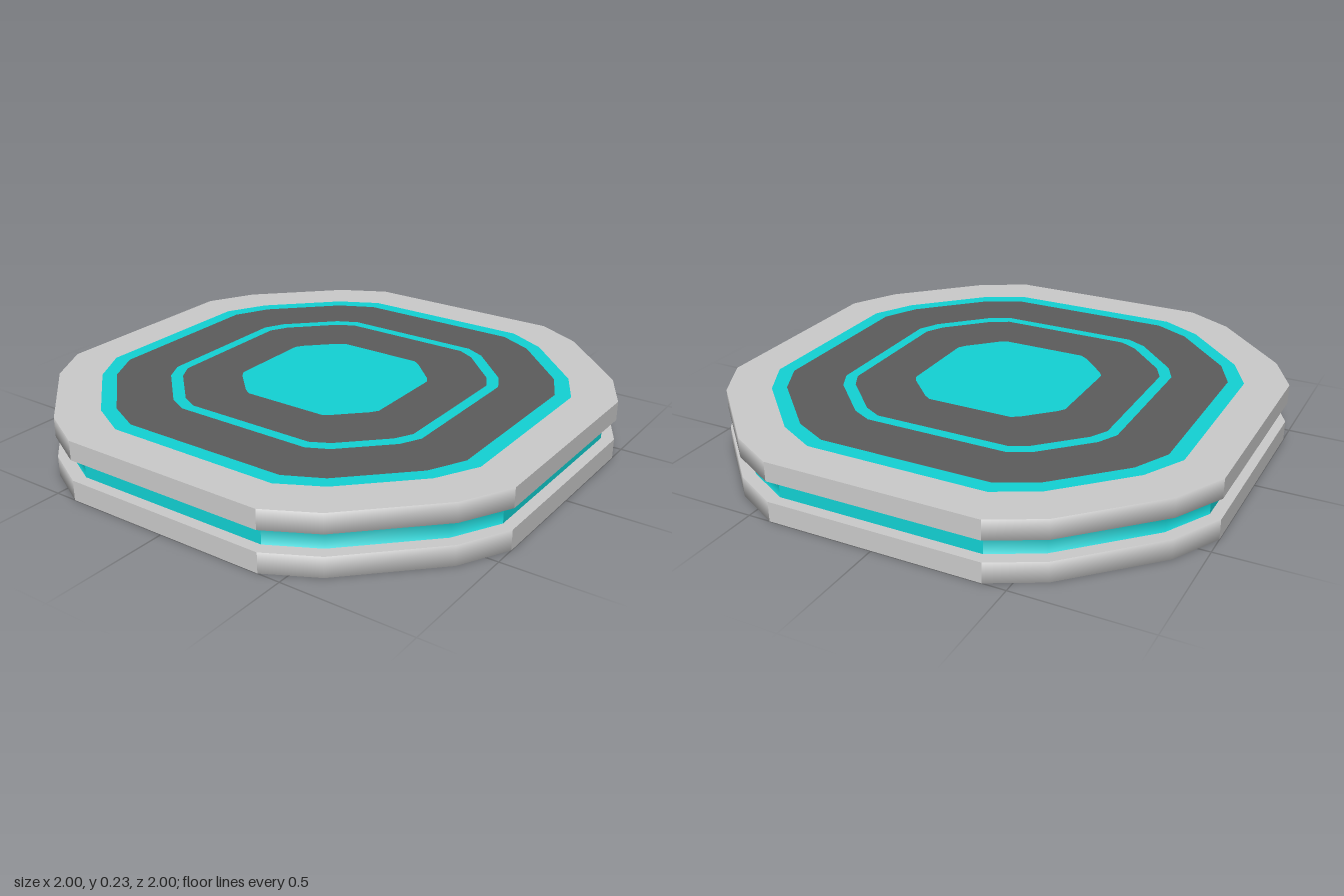
import * as THREE from 'three';

const mat = (color) => new THREE.MeshStandardMaterial({ color });
const grey = mat(0xcccccc);
const dark = mat(0x5c5c5c);
const teal = mat(0x12d3d5);

// Sixteen-point outline: half width a, flat half length b, chamfer point (c, d); counter-clockwise
function outline(a, b, c, d) {
  const corner = [[a, b], [c, d], [d, c], [b, a]];
  const pts = [];
  for (let k = 0; k < 4; k++) {
    for (const [x, y] of corner) {
      pts.push(new THREE.Vector2(x, y).rotateAround(new THREE.Vector2(), k * Math.PI / 2));
    }
  }
  return pts;
}
const rim = (s) => outline(s, 0.413 * s, 0.9 * s, 0.6 * s);

// Flat horizontal face at height y, optionally with a hole
function face(name, pts, hole, y, material, down = false) {
  const shape = new THREE.Shape(pts);
  if (hole) shape.holes.push(new THREE.Path(hole));
  const geo = new THREE.ShapeGeometry(shape);
  geo.rotateX(down ? Math.PI / 2 : -Math.PI / 2);
  geo.translate(0, y, 0);
  const mesh = new THREE.Mesh(geo, material);
  mesh.name = name;
  return mesh;
}

// Upright wall: flat sides, smooth corners whose normals lean by tilt at top and bottom
function wall(name, pts, y0, y1, material, tilt) {
  const pos = [], nor = [], idx = [];
  const edgeNormal = (p, q) => new THREE.Vector2(q.y - p.y, p.x - q.x).normalize();
  const strip = (line, lean) => {
    const start = pos.length / 3;
    line.forEach((p, i) => {
      const n = new THREE.Vector2();
      if (i > 0) n.add(edgeNormal(line[i - 1], p));
      if (i < line.length - 1) n.add(edgeNormal(p, line[i + 1]));
      n.normalize();
      for (const [y, ny] of [[y0, -lean], [y1, lean]]) {
        const v = new THREE.Vector3(n.x, ny, -n.y).normalize();
        pos.push(p.x, y, -p.y);
        nor.push(v.x, v.y, v.z);
      }
      if (i > 0) {
        const a = start + 2 * (i - 1);
        idx.push(a, a + 2, a + 3, a, a + 3, a + 1);
      }
    });
  };
  for (let k = 0; k < 16; k += 4) {
    strip(pts.slice(k, k + 4), tilt);
    strip([pts[k + 3], pts[(k + 4) % 16]], 0);
  }
  const geo = new THREE.BufferGeometry();
  geo.setAttribute('position', new THREE.Float32BufferAttribute(pos, 3));
  geo.setAttribute('normal', new THREE.Float32BufferAttribute(nor, 3));
  geo.setIndex(idx);
  const mesh = new THREE.Mesh(geo, material);
  mesh.name = name;
  return mesh;
}

export function createModel() {
  const model = new THREE.Group();
  model.name = 'platform';
  const yLow = 0.077, yHigh = 0.157, yTop = 0.232;
  const outer = rim(1);

  // Lower plate with a dark base
  model.add(wall('lowerPlateWall', outer, 0, yLow, grey, 0.5));
  model.add(face('lowerPlateTop', outer, null, yLow, grey));
  model.add(face('base', outer, null, 0, dark, true));

  // Recessed glowing core between the plates
  model.add(wall('coreBand', rim(0.955), yLow, yHigh, teal, -0.5));

  // Upper plate
  model.add(wall('upperPlateWall', outer, yHigh, yTop, grey, 0.5));
  model.add(face('upperPlateUnderside', outer, null, yHigh, grey, true));

  // Flush concentric inlays on the top
  const rings = [
    ['topRim', outer, grey],
    ['outerGlowRing', outline(0.84, 0.35, 0.755, 0.51), teal],
    ['outerDarkRing', outline(0.78, 0.335, 0.71, 0.475), dark],
    ['innerGlowRing', outline(0.57, 0.28, 0.53, 0.36), teal],
    ['innerDarkRing', outline(0.527, 0.265, 0.49, 0.335), dark],
    ['centrePanel', outline(0.32, 0.17, 0.3, 0.2), teal],
  ];
  rings.forEach(([name, pts, material], i) => {
    const hole = rings[i + 1] ? rings[i + 1][1] : null;
    model.add(face(name, pts, hole, yTop, material));
  });

  return model;
}
